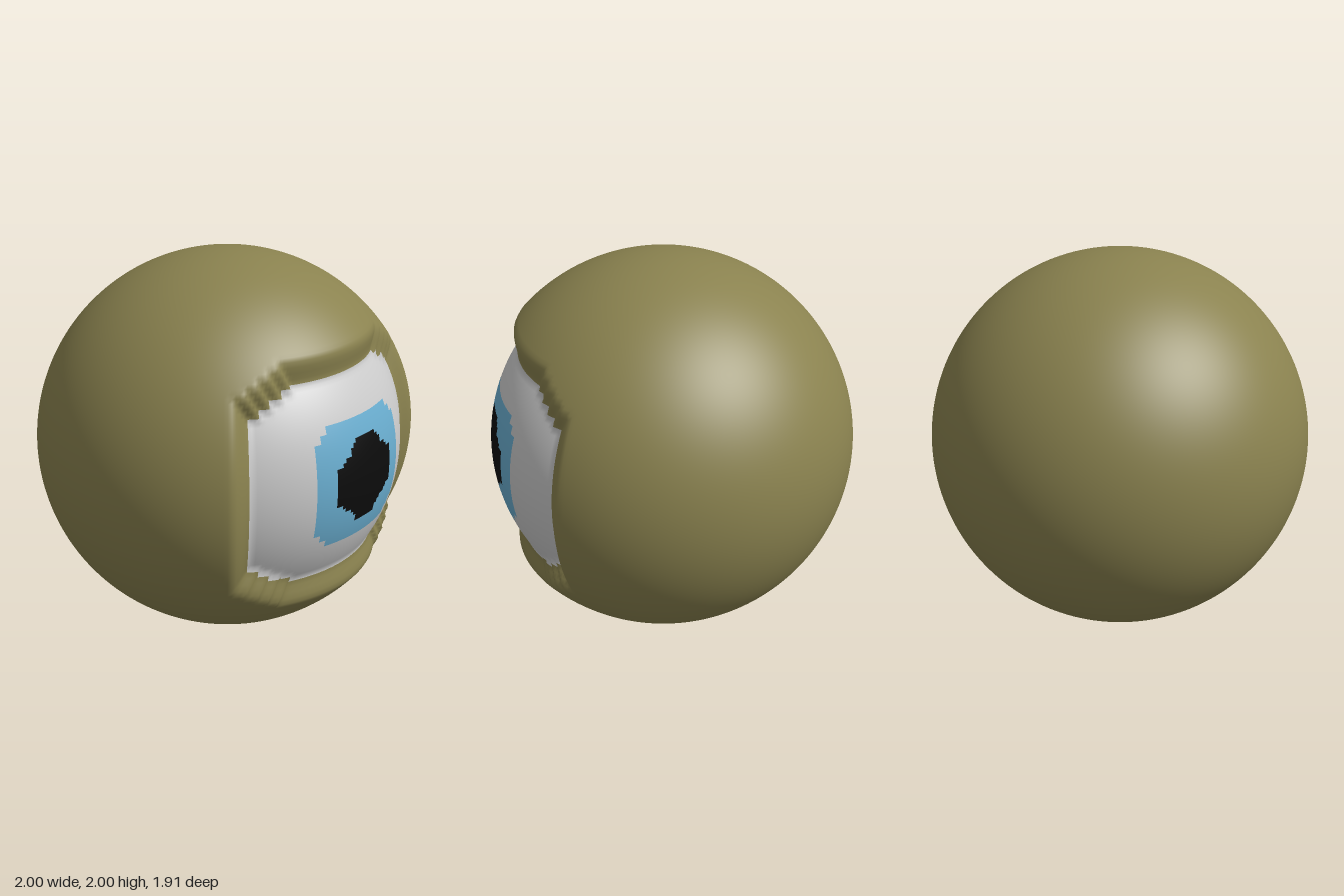
import * as THREE from 'three';

const DEG = Math.PI / 180;
const SEG_U = 288, SEG_V = 144;      // fine latitude/longitude grid
const BALL_R = 1, EYE_R = 0.91;      // outer skin and recessed eye radius
const EYE_LAT = 2.6;                 // the eye sits slightly above the equator

// Stepped-corner regions in degrees: half width a, half height b,
// with the corner stairs running from (cx, b) to (a, cy) in n steps
const REGIONS = {
  pupil: { a: 13.2, b: 13.3, cx: 4.6, cy: 6.4, n: 5 },
  iris: { a: 20.8, b: 20.3, cx: 16, cy: 15.5, n: 2 },
  eyeWhite: { a: 42.6, b: 34.2, cx: 26.5, cy: 25, n: 4 },
};

const COLORS = { skin: 0x8a824f, eyeWhite: 0xcccccc, iris: 0x6aaed0, pupil: 0x0c0c0c };

// Signed distance (degrees) to a union of rectangles that forms the stairs
function distance({ a, b, cx, cy, n }, lon, lat) {
  let d = Infinity;
  for (let i = 0; i <= n; i++) {
    const w = THREE.MathUtils.lerp(cx, a, i / n);
    const h = THREE.MathUtils.lerp(b, cy, i / n);
    d = Math.min(d, Math.max(Math.abs(lon) - w, Math.abs(lat - EYE_LAT) - h));
  }
  return d;
}

const lonAt = (i) => (i / SEG_U - 0.5) * 360;
const latAt = (j) => 90 - (j / SEG_V) * 180;

// Ball with a recessed eye area; the seam lies at the back
function buildSurface() {
  const geo = new THREE.SphereGeometry(1, SEG_U, SEG_V, -Math.PI / 2);
  const pos = geo.attributes.position;
  const nor = geo.attributes.normal.clone();
  for (let j = 0; j <= SEG_V; j++) {
    for (let i = 0; i <= SEG_U; i++) {
      const k = j * (SEG_U + 1) + i;
      const lat = latAt(j) * DEG, lon = lonAt(i) * DEG;
      const d = distance(REGIONS.eyeWhite, lonAt(i), latAt(j));
      const r = THREE.MathUtils.lerp(EYE_R, BALL_R, THREE.MathUtils.smoothstep(d, -1.5, 5.5));
      pos.setXYZ(k, r * Math.cos(lat) * Math.sin(lon), r * Math.sin(lat), r * Math.cos(lat) * Math.cos(lon));
    }
  }
  geo.computeVertexNormals();
  // Keep exact sphere normals on the back half, so the seam is invisible
  for (let k = 0; k < pos.count; k++) {
    if (pos.getZ(k) < 0) geo.attributes.normal.setXYZ(k, nor.getX(k), nor.getY(k), nor.getZ(k));
  }
  return geo;
}

export function createModel() {
  const group = new THREE.Group();
  group.name = 'eyeball';
  const surface = buildSurface();

  // Sort the grid cells into the coloured parts
  const cells = { skin: [], eyeWhite: [], iris: [], pupil: [] };
  for (let j = 0; j < SEG_V; j++) {
    for (let i = 0; i < SEG_U; i++) {
      const lon = lonAt(i + 0.5), lat = latAt(j + 0.5);
      const part = Object.keys(REGIONS).find((key) => distance(REGIONS[key], lon, lat) <= 0) || 'skin';
      const a = j * (SEG_U + 1) + i, b = a + 1, c = a + SEG_U + 1, d = c + 1;
      if (j > 0) cells[part].push(a, c, b);
      if (j < SEG_V - 1) cells[part].push(b, c, d);
    }
  }

  // One mesh per part, sharing positions and smooth normals
  for (const [name, index] of Object.entries(cells)) {
    const geo = new THREE.BufferGeometry();
    geo.setAttribute('position', surface.attributes.position);
    geo.setAttribute('normal', surface.attributes.normal);
    geo.setIndex(index);
    const mesh = new THREE.Mesh(geo, new THREE.MeshStandardMaterial({ color: COLORS[name] }));
    mesh.name = name;
    mesh.position.set(0, 1, 0.045);
    group.add(mesh);
  }
  return group;
}
